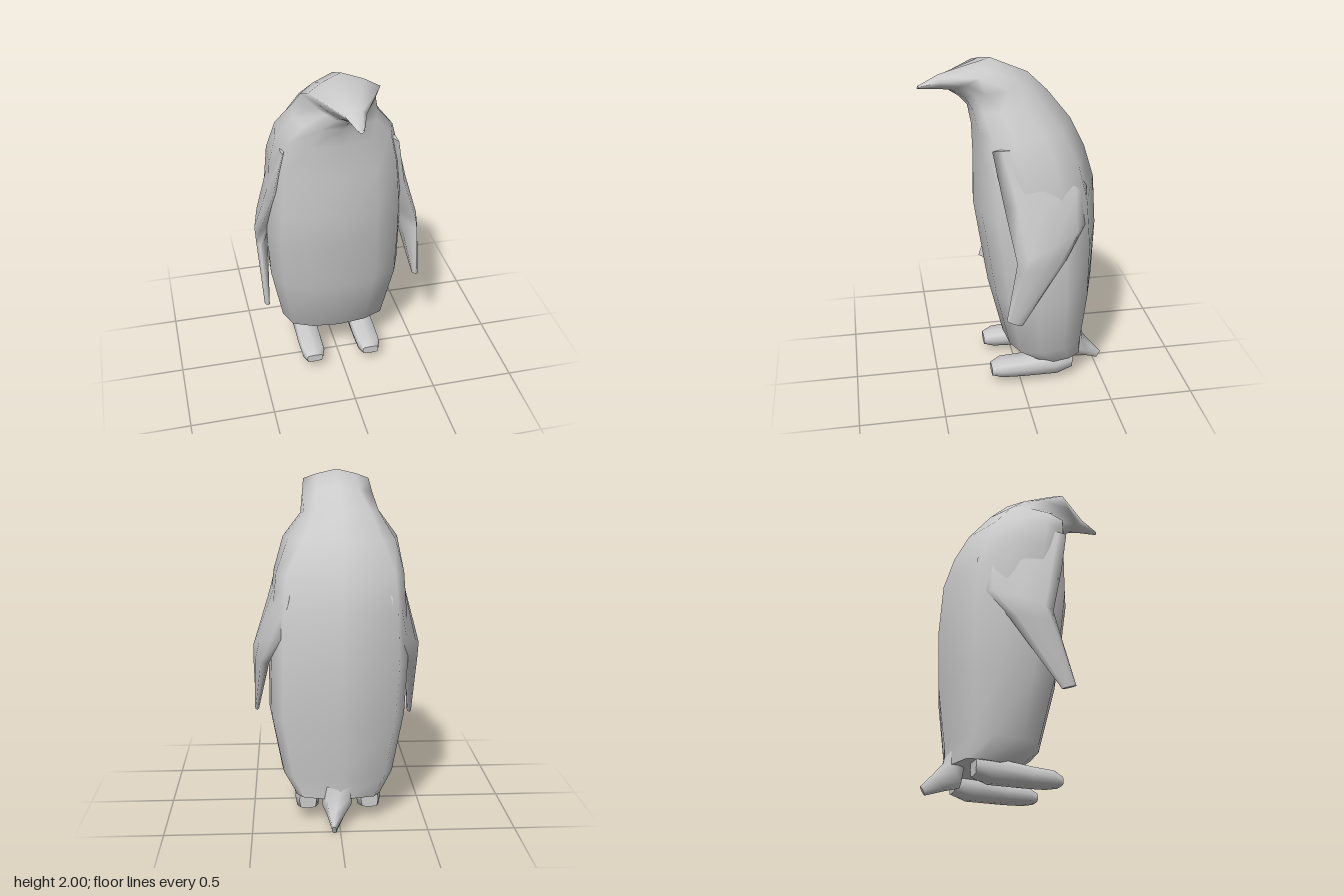
import * as THREE from 'three';

const material = new THREE.MeshStandardMaterial({ color: 0xcccccc, side: THREE.DoubleSide });

// Cross-section outlines as [u, v] pairs; an exponent below 1 makes them boxy
function oval(sides, exponent = 1) {
  const bend = (v) => (Math.abs(v) < 1e-6 ? 0 : Math.sign(v) * Math.pow(Math.abs(v), exponent));
  return Array.from({ length: sides }, (_, j) => {
    const t = (j / sides) * Math.PI * 2;
    return [bend(Math.cos(t)), bend(Math.sin(t))];
  });
}

// Full outline from its right half, listed from v = 1 down to v = -1
function mirrored(half) {
  const left = half.map(([u, v]) => [-u, v]);
  return left.concat(half.slice(1, -1).reverse());
}

// Smooth skin over rings. Each ring is [pointA, pointB, halfWidth, outline]:
// v runs from B to A, and u reaches halfWidth along x.
function loft(name, rings) {
  const positions = [], index = [];
  const sides = rings[0][3].length;
  const addRing = ([a, b, w, outline]) => {
    for (const [u, v] of outline) {
      const p = a.map((ak, k) => (ak + b[k]) / 2 + ((ak - b[k]) / 2) * v);
      positions.push(p[0] + w * u, p[1], p[2]);
    }
  };
  rings.forEach(addRing);
  for (let i = 0; i < rings.length - 1; i++) {
    for (let j = 0; j < sides; j++) {
      const p = i * sides + j, q = i * sides + ((j + 1) % sides);
      index.push(p, q, q + sides, p, q + sides, p + sides);
    }
  }
  // End caps with their own vertices, so their rims stay crisp
  [rings[0], rings[rings.length - 1]].forEach((ring, end) => {
    const start = positions.length / 3;
    addRing(ring);
    for (let j = 1; j < sides - 1; j++) {
      if (end === 0) index.push(start, start + j + 1, start + j);
      else index.push(start, start + j, start + j + 1);
    }
  });
  const geometry = new THREE.BufferGeometry();
  geometry.setAttribute('position', new THREE.Float32BufferAttribute(positions, 3));
  geometry.setIndex(index);
  geometry.computeVertexNormals();
  const mesh = new THREE.Mesh(geometry, material);
  mesh.name = name;
  return mesh;
}

// Body, head and beak in one skin: ridged broad back, flat belly, pointed face
function makeBody() {
  const torso = mirrored([[0, 1], [0.8, 0.69], [0.96, 0.27], [1, -0.3], [0.86, -0.74], [0.5, -0.93], [0, -1]]);
  const shoulder = mirrored([[0, 1], [0.68, 0.68], [0.92, 0.27], [1, -0.3], [0.88, -0.72], [0.5, -0.92], [0, -1]]);
  const head = mirrored([[0, 1], [0.6, 0.66], [1, 0.3], [0.72, -0.3], [0.5, -0.6], [0.3, -0.85], [0, -1]]);
  // back y, back z, front y, front z, half width, x offset, outline
  const profile = [
    [0.16, -0.42, 0.13, -0.08, 0.25, 0, torso],
    [0.28, -0.43, 0.25, 0.08, 0.33, 0, torso],
    [0.62, -0.475, 0.62, 0.17, 0.4, 0, torso],
    [0.95, -0.49, 0.95, 0.22, 0.41, -0.01, torso],
    [1.25, -0.47, 1.15, 0.25, 0.4, -0.01, torso],
    [1.45, -0.41, 1.42, 0.245, 0.38, -0.015, torso],
    [1.62, -0.325, 1.62, 0.25, 0.335, -0.025, shoulder],
    [1.79, -0.19, 1.73, 0.27, 0.235, -0.03, shoulder],
    [1.91, -0.07, 1.79, 0.32, 0.205, -0.01, head],
    [2.0, 0.14, 1.83, 0.38, 0.195, -0.01, head],
    [1.92, 0.43, 1.835, 0.42, 0.06, 0, head],
    [1.86, 0.54, 1.845, 0.55, 0.018, 0, head],
  ];
  return loft('body', profile.map(([by, bz, fy, fz, w, x, outline]) =>
    [[x, by, bz], [x, fy, fz], w, outline]));
}

// Flipper: wedge growing out of the shoulder; the right one sits a little
// further out and hangs lower. Rows: front edge, back edge, half thickness
function makeFlipper(side) {
  const left = side > 0;
  const blade = oval(8);
  const rows = left
    ? [
      [[0.315, 1.57, 0.18], [0.23, 1.56, -0.2], 0.02],
      [[0.375, 1.26, 0.125], [0.28, 1.32, -0.36], 0.055],
      [[0.475, 0.96, 0.07], [0.32, 1.1, -0.35], 0.055],
      [[0.48, 0.9, 0.08], [0.41, 0.92, -0.22], 0.035],
      [[0.478, 0.6, 0.13], [0.478, 0.56, 0.04], 0.015],
    ]
    : [
      [[0.345, 1.57, 0.18], [0.26, 1.58, -0.18], 0.025],
      [[0.395, 1.28, 0.12], [0.29, 1.32, -0.36], 0.055],
      [[0.475, 0.97, 0.03], [0.325, 1.1, -0.35], 0.055],
      [[0.475, 0.9, 0.05], [0.41, 0.92, -0.21], 0.035],
      [[0.458, 0.55, 0.165], [0.458, 0.52, 0.08], 0.015],
    ];
  return loft(left ? 'leftFlipper' : 'rightFlipper', rows.map(([a, b, w]) =>
    [[a[0] * side, a[1], a[2]], [b[0] * side, b[1], b[2]], w, blade]));
}

// Foot: heel to toe, boxy section. Rows: z, top y, bottom y, half width
function makeFoot(side) {
  const box = oval(8, 0.4);
  const rings = [
    [-0.32, 0.17, 0.07, 0.05],
    [-0.22, 0.17, 0.042, 0.072],
    [0.0, 0.145, 0.047, 0.075],
    [0.12, 0.138, 0.052, 0.072],
    [0.18, 0.112, 0.062, 0.05],
  ].map(([z, top, bottom, w]) => [[0.18 * side, top, z], [0.18 * side, bottom, z], w, box]);
  return loft(side > 0 ? 'leftFoot' : 'rightFoot', rings);
}

// Short tail sloping down and back to the ground
function makeTail() {
  const wedge = oval(8, 0.75);
  return loft('tail', [
    [[0, 0.28, -0.3], [0, 0.3, -0.41], 0.09, wedge],
    [[0.02, 0.055, -0.33], [0.01, 0.18, -0.43], 0.085, wedge],
    [[0.02, 0.03, -0.42], [0.03, 0.11, -0.49], 0.045, wedge],
    [[0.035, 0.0, -0.52], [0.04, 0.05, -0.545], 0.012, wedge],
  ]);
}

export function createModel() {
  const model = new THREE.Group();
  model.name = 'penguin';
  model.add(makeBody(), makeTail());
  for (const side of [1, -1]) model.add(makeFlipper(side), makeFoot(side));
  return model;
}
